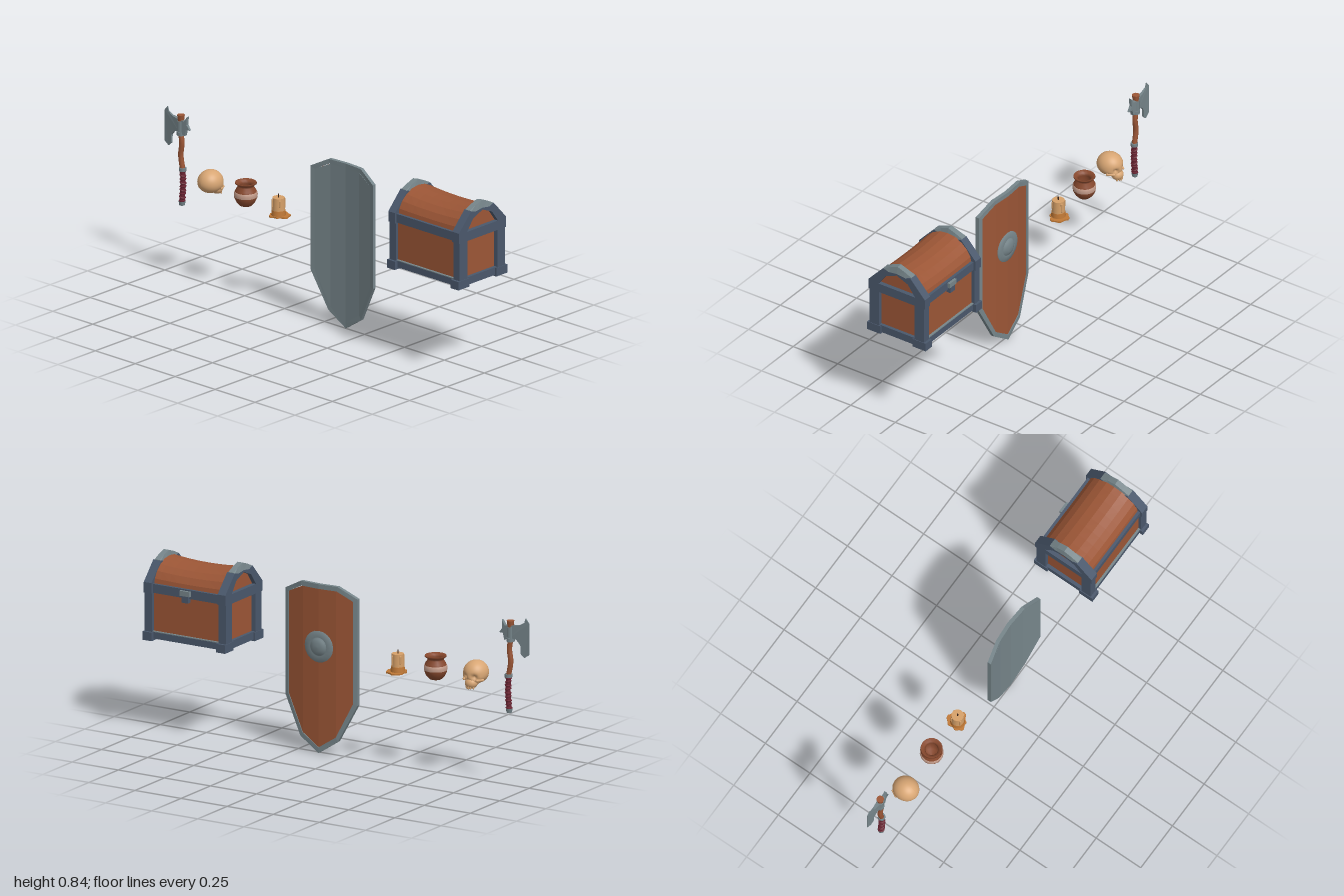
import * as THREE from 'three';

const mat = (name, color) => {
  const m = new THREE.MeshStandardMaterial({ color });
  m.name = name;
  return m;
};

// Closed solid skinned over rings of [x, y, z] points; winding is fixed by signed volume
function loft(rings, loop = false) {
  const tris = [], n = rings[0].length, m = rings.length;
  for (let i = 0; i < (loop ? m : m - 1); i++) {
    const a = rings[i], b = rings[(i + 1) % m];
    for (let j = 0; j < n; j++) {
      const k = (j + 1) % n;
      tris.push([a[j], a[k], b[k]], [a[j], b[k], b[j]]);
    }
  }
  if (!loop) for (let j = 1; j < n - 1; j++) {
    tris.push([rings[0][0], rings[0][j + 1], rings[0][j]]);
    tris.push([rings[m - 1][0], rings[m - 1][j], rings[m - 1][j + 1]]);
  }
  let vol = 0;
  for (const [a, b, c] of tris) vol += new THREE.Vector3(...a).dot(new THREE.Vector3(...b).cross(new THREE.Vector3(...c)));
  const pos = tris.flatMap(([a, b, c]) => (vol < 0 ? [a, c, b] : [a, b, c])).flat();
  const g = new THREE.BufferGeometry();
  g.setAttribute('position', new THREE.Float32BufferAttribute(pos, 3));
  g.computeVertexNormals();
  return g;
}

const shapeOf = pts => new THREE.Shape(pts.map(p => new THREE.Vector2(...p)));
const mirrored = half => [...half, ...half.filter(p => p[0] !== 0).reverse().map(([x, y]) => [-x, y])];

export function createModel() {
  const wood = mat('wood', 0x9c5636), iron = mat('blueIron', 0x4a586c), steel = mat('steel', 0x76858a);
  const bone = mat('bone', 0xd8a674), wax = mat('wax', 0xd6a068), drip = mat('meltedWax', 0xbf7836);
  const clay = mat('clay', 0x88492e), band = mat('paleBand', 0xc49c8a), wrap = mat('redWrap', 0x6c2433), wick = mat('wick', 0x3a2418);
  const model = new THREE.Group();
  const group = name => { const g = new THREE.Group(); g.name = name; model.add(g); return g; };
  const add = (parent, name, geo, m, x = 0, y = 0, z = 0) => {
    const mesh = new THREE.Mesh(geo, m);
    mesh.name = name;
    mesh.position.set(x, y, z);
    parent.add(mesh);
    return mesh;
  };
  // Box given by its lower and upper corner
  const box = (parent, name, m, x0, x1, y0, y1, z0, z1) =>
    add(parent, name, new THREE.BoxGeometry(x1 - x0, y1 - y0, z1 - z0), m, (x0 + x1) / 2, (y0 + y1) / 2, (z0 + z1) / 2);

  // ---- Chest, built around its own centre in z ----
  const chest = group('chest');
  chest.position.z = 0.768;
  box(chest, 'chestBody', wood, -0.136, 0.136, 0.46, 0.7, -0.2, 0.2);
  box(chest, 'chestBottom', iron, -0.14, 0.14, 0.453, 0.461, -0.205, 0.205);
  const lidRings = [];
  for (let i = 0; i <= 8; i++) {
    const t = i / 4 - 1, ring = [], h = 0.104 + 0.014 * t * t;
    for (let j = 0; j <= 10; j++) {
      const a = Math.PI * j / 10;
      ring.push([0.136 * Math.cos(a), 0.7 + h * Math.sin(a), 0.2 * t]);
    }
    lidRings.push(ring);
  }
  add(chest, 'lidBarrel', loft(lidRings), wood);

  const archShape = shapeOf(mirrored([[0.158, 0.67], [0.158, 0.72], [0.076, 0.808], [0.045, 0.799], [0, 0.805]]));
  archShape.holes.push(new THREE.Path(mirrored([[0.103, 0.715], [0.063, 0.77], [0, 0.796]]).map(p => new THREE.Vector2(...p))));
  for (const s of [-1, 1]) {
    const zc = 0.2 * s;
    add(chest, 'lidArch', new THREE.ExtrudeGeometry(archShape, { depth: 0.042, bevelEnabled: false }), iron, 0, 0, zc - 0.021);
    const cap = [[-0.077, 0.806, 0.809], [-0.04, 0.798, 0.826], [0, 0.803, 0.84], [0.04, 0.798, 0.826], [0.077, 0.806, 0.809]]
      .map(([x, lo, hi]) => [[x, lo, -0.021], [x, lo, 0.021], [x, hi, 0.014], [x, hi, -0.014]]);
    add(chest, 'archCap', loft(cap), steel, 0, 0, zc);
    box(chest, 'endBeam', iron, -0.1, 0.1, 0.453, 0.49, zc - 0.016, zc + 0.016);
    // Long side beams with bright top edges
    const [x0, x1] = s > 0 ? [0.12, 0.147] : [-0.147, -0.12];
    box(chest, 'lidBeam', iron, x0, x1, 0.672, 0.714, -0.19, 0.19);
    box(chest, 'baseBeam', iron, x0, x1, 0.455, 0.486, -0.19, 0.19);
    box(chest, 'baseBeamTop', steel, x0, x1, 0.486, 0.49, -0.18, 0.18);
    for (const r of [-1, 1]) {
      const post = box(chest, 'cornerPost', iron, 0.1, 0.152, 0.48, 0.672, -0.02, 0.02);
      post.position.set(0.126 * r, 0.576, zc);
      const foot = box(chest, 'cornerFoot', iron, 0.09, 0.164, 0.446, 0.487, -0.024, 0.024);
      foot.position.set(0.127 * r, 0.4665, zc * 0.995);
    }
  }
  box(chest, 'latchPlate', steel, 0.14, 0.16, 0.684, 0.708, -0.027, 0.027);
  box(chest, 'latchHasp', iron, 0.136, 0.157, 0.652, 0.686, -0.018, 0.018);

  // ---- Shield, bent backwards towards its sides, facing +x ----
  const shield = group('shield');
  shield.position.z = 0.132;
  const bend = d => -0.027 * (d / 0.195) ** 2;
  const outer = mirrored([[0, 0.003], [0.102, 0.07], [0.195, 0.25], [0.195, 0.755], [0.1, 0.805], [0, 0.805]]);
  const inner = mirrored([[0, 0.03], [0.09, 0.088], [0.175, 0.257], [0.175, 0.742], [0.095, 0.783], [0, 0.783]]);
  add(shield, 'shieldRim', loft(outer.map(([d, y], i) => {
    const [e, w] = inner[i];
    return [[bend(d), y, d], [bend(d) + 0.018, y, d], [bend(e) + 0.018, w, e], [bend(e), w, e]];
  }), true), steel);
  const plate = (half, x0, x1) => loft([...half.map(([d, a, b]) => [-d, a, b]).reverse(), ...half.slice(1)]
    .map(([d, lo, hi]) => [[bend(d) + x0, lo, d], [bend(d) + x1, lo, d], [bend(d) + x1, hi, d], [bend(d) + x0, hi, d]]));
  const cols = [[0, 0.03, 0.783], [0.09, 0.088, 0.783], [0.175, 0.257, 0.742]];
  add(shield, 'shieldBack', plate(cols, 0, 0.007), steel);
  add(shield, 'shieldFace', plate(cols, 0.007, 0.014), wood);
  const bossPts = [[0.075, 0], [0.075, 0.012], [0.045, 0.016], [0.042, 0.012], [0.038, 0.02], [0.02, 0.026], [0, 0.027]];
  const boss = new THREE.LatheGeometry(bossPts.map(p => new THREE.Vector2(...p)), 20);
  boss.rotateZ(-Math.PI / 2);
  add(shield, 'shieldBoss', boss, steel, 0.004, 0.508, 0);

  // ---- Candle ----
  const candle = group('candle');
  candle.position.set(0, 0.445, -0.288);
  add(candle, 'candleBody', new THREE.CylinderGeometry(0.029, 0.031, 0.09, 14), wax, 0, 0.046, 0);
  add(candle, 'meltedCollar', new THREE.CylinderGeometry(0.0315, 0.035, 0.03, 14), drip, 0, 0.016, 0);
  add(candle, 'wick', new THREE.CylinderGeometry(0.003, 0.003, 0.02, 6), wick, 0, 0.098, 0);
  const puddle = [];
  for (let i = 0; i < 24; i++) {
    const a = i * Math.PI / 12, r = 0.041 + 0.004 * Math.sin(3 * a) + 0.004 * Math.sin(7 * a + 1) + 0.014 * Math.max(0, Math.cos(a + 0.6));
    puddle.push([r * Math.cos(a), r * Math.sin(a)]);
  }
  const puddleGeo = new THREE.ExtrudeGeometry(shapeOf(puddle), { depth: 0.007, bevelEnabled: false });
  puddleGeo.rotateX(-Math.PI / 2);
  add(candle, 'waxPuddle', puddleGeo, drip);
  for (const [a, h] of [[0.4, 0.04], [2.2, 0.025], [3.7, 0.045], [5.3, 0.03]])
    add(candle, 'waxDrip', new THREE.CapsuleGeometry(0.005, h, 3, 6), wax, 0.029 * Math.cos(a), 0.08 - h / 2, 0.029 * Math.sin(a));

  // ---- Clay pot ----
  const pot = group('pot');
  pot.position.z = -0.493;
  const lathe = pts => new THREE.LatheGeometry(pts.map(p => new THREE.Vector2(...p)), 16);
  add(pot, 'potBody', lathe([[0, 0.447], [0.028, 0.447], [0.044, 0.464], [0.053, 0.485], [0.054, 0.502], [0.048, 0.522], [0.038, 0.537],
    [0.039, 0.545], [0.051, 0.554], [0.049, 0.56], [0.034, 0.552], [0.029, 0.54], [0.042, 0.505], [0.03, 0.465], [0, 0.46]]), clay);
  add(pot, 'potBand', lathe([[0.0535, 0.49], [0.0552, 0.502], [0.0525, 0.514], [0.05, 0.514]]), band);

  // ---- Skull, facing +x ----
  const skull = group('skull');
  skull.position.set(-0.008, 0.509, -0.707);
  const head = new THREE.SphereGeometry(1, 40, 30), p = head.attributes.position, v = new THREE.Vector3();
  const dents = [[0.82, -0.2, 0.42, 0.3, 0.2], [0.82, -0.2, -0.42, 0.3, 0.2], [0.85, -0.52, 0, 0.16, 0.15], [0.35, -0.7, 0.62, 0.22, 0.25], [0.35, -0.7, -0.62, 0.22, 0.25]];
  for (let i = 0; i < p.count; i++) {
    v.fromBufferAttribute(p, i);
    let r = 1 + 0.25 * Math.max(0, v.x) * Math.max(0, -v.y);
    for (const [x, y, z, depth, w] of dents) r -= depth * Math.exp(-v.distanceToSquared(new THREE.Vector3(x, y, z).normalize()) / (w * w));
    if (v.y < 0) r *= 1 - 0.12 * v.y * v.y * (v.x < 0.2 ? 1 : 0.3);
    p.setXYZ(i, v.x * r * 0.063, v.y * r * 0.058, v.z * r * 0.058);
  }
  head.computeVertexNormals();
  add(skull, 'cranium', head, bone);
  const jaw = new THREE.SphereGeometry(1, 16, 12);
  jaw.scale(0.028, 0.026, 0.03);
  add(skull, 'upperJaw', jaw, bone, 0.042, -0.042, 0);
  for (let i = -2; i <= 2; i++)
    add(skull, 'tooth', new THREE.CapsuleGeometry(0.0045, 0.01, 3, 6), bone, 0.064 - 0.003 * i * i, -0.058, i * 0.009);
  for (const s of [-1, 1]) {
    const cheek = add(skull, 'cheekbone', new THREE.CapsuleGeometry(0.007, 0.03, 4, 8), bone, 0.034, -0.026, s * 0.042);
    cheek.rotation.set(0, s * 0.5, Math.PI / 2);
  }

  // ---- Axe, with the blade pointing to -z ----
  const axe = group('axe');
  const path = pts => new THREE.CatmullRomCurve3(pts.map(([y, z]) => new THREE.Vector3(0, y, z)));
  const shaft = path([[0.52, -0.888], [0.59, -0.9], [0.65, -0.893], [0.71, -0.902], [0.782, -0.899]]);
  add(axe, 'axeHandle', new THREE.TubeGeometry(shaft, 16, 0.0125, 8), wood);
  add(axe, 'handleTop', new THREE.CylinderGeometry(0.018, 0.014, 0.03, 8), wood, 0, 0.77, -0.899);
  const grip = path([[0.36, -0.892], [0.44, -0.886], [0.52, -0.888]]);
  add(axe, 'axeGrip', new THREE.TubeGeometry(grip, 8, 0.012, 8), wrap);
  for (let i = 0; i < 9; i++) {
    const c = grip.getPoint((i + 0.5) / 9);
    const turn = add(axe, 'gripWrap', new THREE.TorusGeometry(0.0115, 0.005, 6, 10), wrap, c.x, c.y, c.z);
    turn.rotation.set(Math.PI / 2 + (i % 2 ? 0.35 : -0.1), 0, 0);
  }
  add(axe, 'pommel', new THREE.CylinderGeometry(0.016, 0.013, 0.02, 8), steel, 0, 0.357, -0.892);
  add(axe, 'gripCollar', new THREE.CylinderGeometry(0.018, 0.018, 0.016, 8), steel, 0, 0.522, -0.888);
  add(axe, 'headSocket', new THREE.CylinderGeometry(0.018, 0.018, 0.05, 8), steel, 0, 0.73, -0.9);
  add(axe, 'headCollar', new THREE.CylinderGeometry(0.02, 0.02, 0.018, 8), steel, 0, 0.695, -0.899);
  // Flat head pieces, thinned towards their edges
  const blade = (name, pts) => {
    const g = new THREE.ExtrudeGeometry(shapeOf(pts), { depth: 0.024, bevelEnabled: false });
    g.translate(0, 0, -0.012);
    const q = g.attributes.position;
    for (let i = 0; i < q.count; i++) q.setZ(i, q.getZ(i) * Math.max(0.12, 1 - Math.abs(q.getX(i) - 0.9) / 0.1));
    g.rotateY(Math.PI / 2);
    g.computeVertexNormals();
    add(axe, name, g, steel);
  };
  blade('axeBlade', [[0.9, 0.705], [0.935, 0.7], [0.955, 0.675], [0.957, 0.635], [0.975, 0.618], [1, 0.635], [1, 0.785], [0.982, 0.807], [0.975, 0.785], [0.95, 0.77], [0.9, 0.762]]);
  blade('axeSpike', [[0.9, 0.762], [0.872, 0.76], [0.856, 0.785], [0.858, 0.745], [0.84, 0.722], [0.862, 0.722], [0.87, 0.69], [0.9, 0.705]]);
  return model;
}
